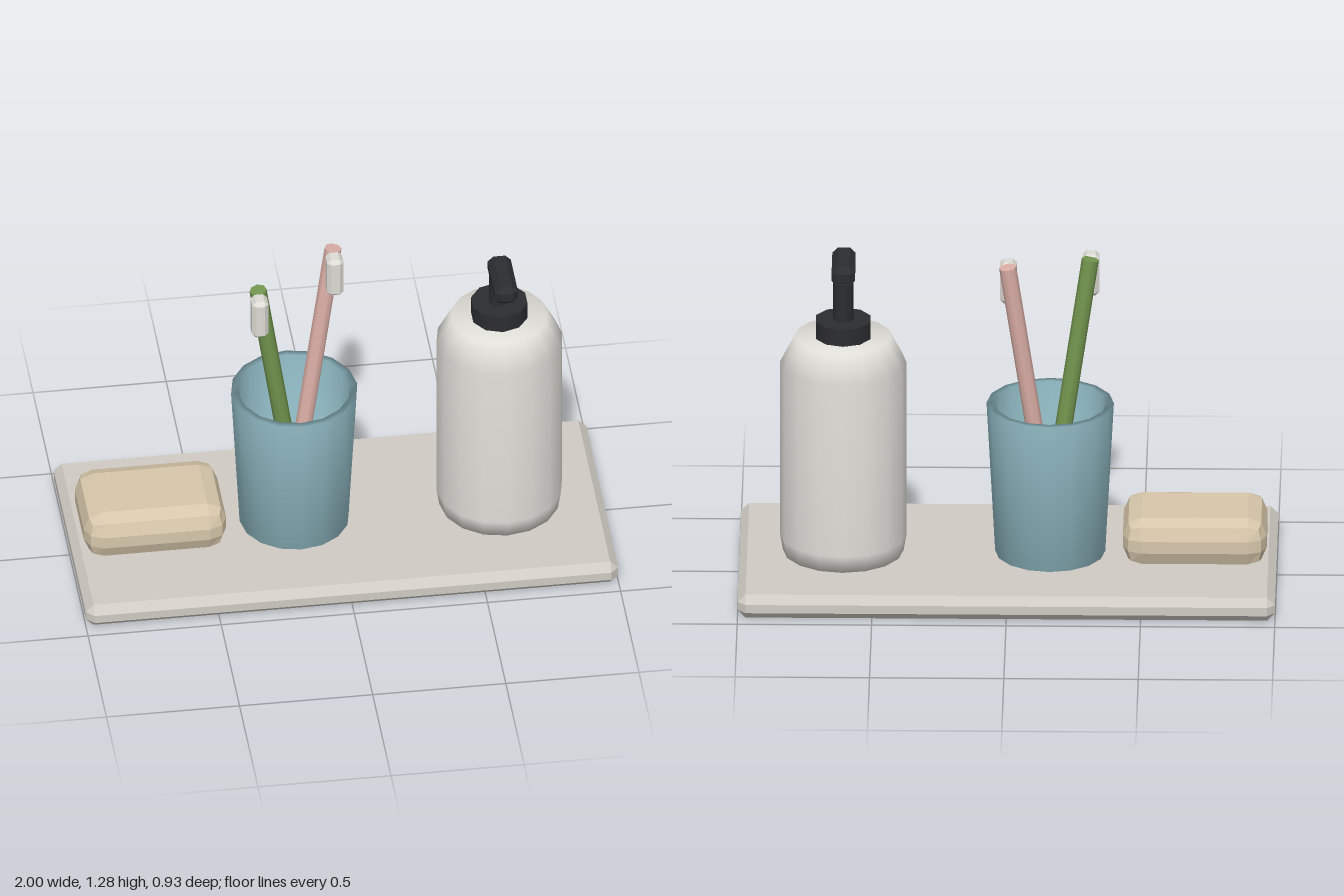
import * as THREE from 'three';
import { RoundedBoxGeometry } from 'three/addons/geometries/RoundedBoxGeometry.js';
import { ConvexGeometry } from 'three/addons/geometries/ConvexGeometry.js';

const material = (color, flatShading = false) => new THREE.MeshStandardMaterial({ color, flatShading });

function addPart(parent, name, geometry, mat, x = 0, y = 0, z = 0) {
  const mesh = new THREE.Mesh(geometry, mat);
  mesh.name = name;
  mesh.position.set(x, y, z);
  parent.add(mesh);
  return mesh;
}

// Box with every edge cut at 45 degrees
function chamferBox(w, h, d, c) {
  const points = [];
  for (const sx of [-1, 1]) for (const sy of [-1, 1]) for (const sz of [-1, 1])
    for (let axis = 0; axis < 3; axis++) {
      const [x, y, z] = [w, h, d].map((s, i) => s / 2 - (i === axis ? 0 : c));
      points.push(new THREE.Vector3(sx * x, sy * y, sz * z));
    }
  return new ConvexGeometry(points);
}

const lathe = (profile, sides) =>
  new THREE.LatheGeometry(profile.map(([r, y]) => new THREE.Vector2(r, y)), sides);

// Leaning handle with an upright bristle block on the front of its tip
function toothbrush(name, color, bottom, top) {
  const brush = new THREE.Group();
  brush.name = name;
  const a = new THREE.Vector3(...bottom), b = new THREE.Vector3(...top);
  const dir = b.clone().sub(a);
  const handle = addPart(brush, 'handle', new THREE.CylinderGeometry(0.032, 0.032, dir.length(), 8), material(color));
  handle.position.copy(a).add(b).multiplyScalar(0.5);
  handle.quaternion.setFromUnitVectors(new THREE.Vector3(0, 1, 0), dir.normalize());
  addPart(brush, 'bristles', chamferBox(0.062, 0.165, 0.075, 0.015), material(0xdddbd5, true),
    b.x - 0.002, b.y - 0.078, b.z + 0.055);
  return brush;
}

export function createModel() {
  const model = new THREE.Group();
  const floor = 0.093;

  addPart(model, 'tray', chamferBox(2, floor, 0.93, 0.03), material(0xcfcac3, true), 0, floor / 2, 0);

  addPart(model, 'soap', new RoundedBoxGeometry(0.535, 0.187, 0.38, 1, 0.07),
    material(0xd6c6aa, true), -0.697, floor + 0.0935, 0);

  // Hollow tapered cup
  addPart(model, 'cup', lathe([
    [0, floor], [0.205, floor], [0.237, 0.69], [0.21, 0.69], [0.182, 0.125], [0, 0.125],
  ], 16), material(0x92bcc6), -0.157, 0, 0);

  model.add(
    toothbrush('greenToothbrush', 0x74964f, [-0.14, 0.13, 0.02], [-0.305, 1.235, 0.087]),
    toothbrush('pinkToothbrush', 0xdcafa7, [-0.17, 0.13, -0.015], [0, 1.272, -0.082]),
  );

  // Soap dispenser: bottle, collar, stem and spout
  const dispenser = new THREE.Group();
  dispenser.name = 'dispenser';
  dispenser.position.x = 0.613;
  model.add(dispenser);
  const dark = material(0x2c2d31);
  addPart(dispenser, 'bottle', lathe([
    [0, floor], [0.225, floor], [0.236, 0.16], [0.236, 0.85], [0.18, 0.957], [0, 0.957],
  ], 16), material(0xe0ded8));
  addPart(dispenser, 'collar', new THREE.CylinderGeometry(0.107, 0.107, 0.07, 10), dark, 0, 0.99, 0);
  addPart(dispenser, 'stem', new THREE.CylinderGeometry(0.039, 0.039, 0.16, 8), dark, 0, 1.095, 0);
  addPart(dispenser, 'spout', chamferBox(0.087, 0.075, 0.232, 0.021), material(0x2c2d31, true), 0, 1.195, 0.095);

  return model;
}
